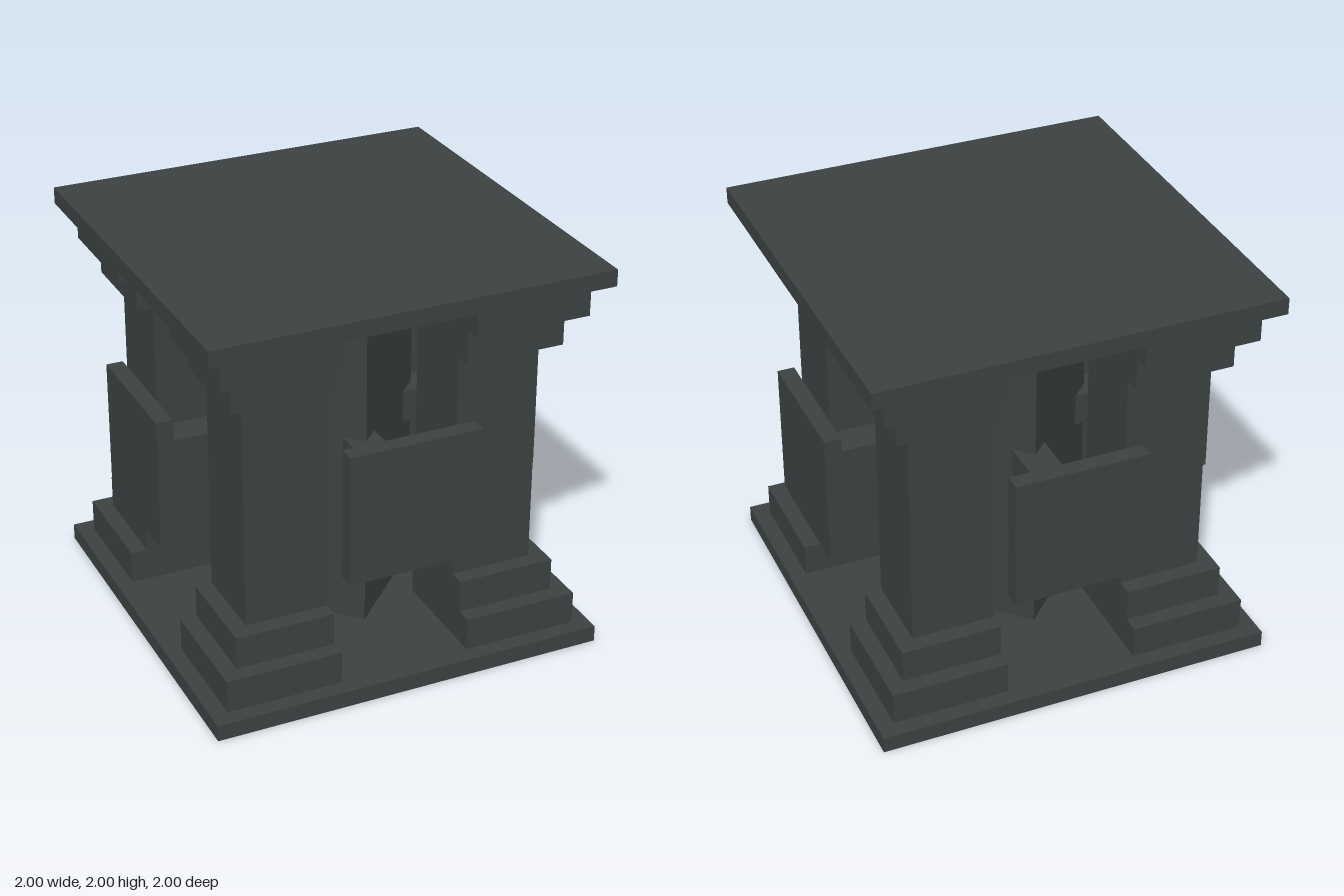
import * as THREE from 'three';

// The design sits on a grid of 24 units per side
const U = 1 / 12;

export function createModel() {
  const model = new THREE.Group();
  model.name = 'pillarFrame';
  const slate = new THREE.MeshStandardMaterial({ color: 0x3b4141 });
  slate.name = 'dark slate';

  // Box given by its min and max corners in grid units
  function block(name, [x0, y0, z0], [x1, y1, z1], parent) {
    const geo = new THREE.BoxGeometry((x1 - x0) * U, (y1 - y0) * U, (z1 - z0) * U);
    const mesh = new THREE.Mesh(geo, slate);
    mesh.name = name;
    mesh.position.set((x0 + x1) / 2 * U, (y0 + y1) / 2 * U, (z0 + z1) / 2 * U);
    parent.add(mesh);
    return mesh;
  }

  // Slabs at bottom and top
  block('baseSlab', [-12, 0, -12], [12, 1, 12], model);
  block('topSlab', [-12, 23, -12], [12, 24, 12], model);

  // Central square column, turned to face the corners
  block('centralColumn', [-4, 1, -4], [4, 23, 4], model).rotation.y = Math.PI / 4;

  // Corner pillar sections: name, bottom, top, outer edge
  const sections = [
    ['lowerFoot', 1, 3, 11],
    ['upperFoot', 3, 5, 10],
    ['shaft', 5, 19, 9],
    ['lowerCapital', 19, 21, 10],
    ['upperCapital', 21, 23, 11],
  ];

  for (let i = 0; i < 4; i++) {
    const pillar = new THREE.Group();
    pillar.name = 'cornerPillar' + (i + 1);
    for (const [name, y0, y1, out] of sections) {
      block(name, [4, y0, 4], [out, y1, out], pillar);
    }
    pillar.rotation.y = i * Math.PI / 2;
    model.add(pillar);

    // Square plate held out from the column by a short arm
    const side = new THREE.Group();
    side.name = 'sidePanel' + (i + 1);
    block('arm', [-1, 11, 4], [1, 13, 11], side);
    block('plate', [-4, 8, 11], [4, 16, 12], side);
    side.rotation.y = i * Math.PI / 2;
    model.add(side);
  }
  return model;
}
